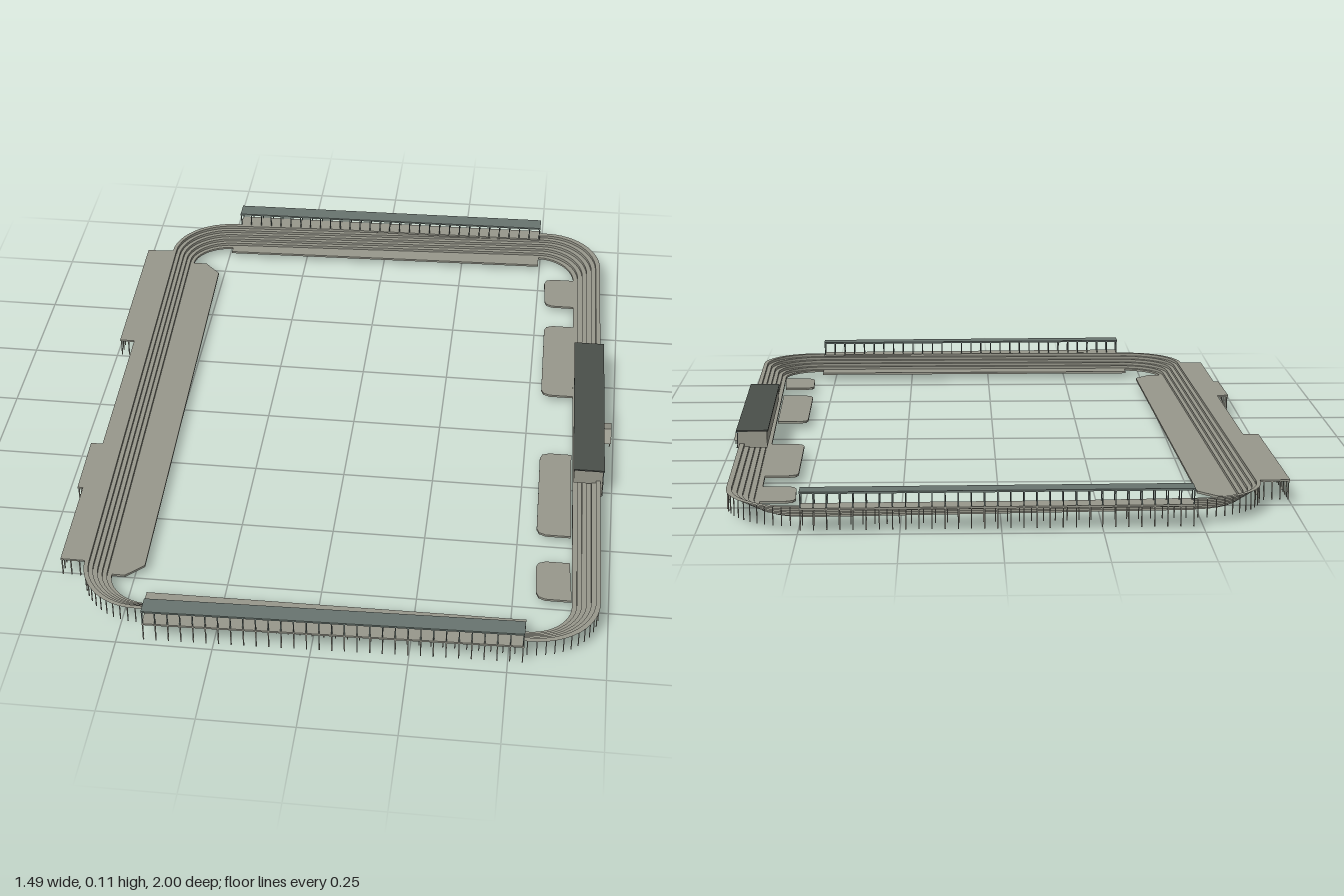
import * as THREE from 'three';
import { mergeGeometries } from 'three/addons/utils/BufferGeometryUtils.js';

const mat = (name, color, side = THREE.FrontSide) => {
  const m = new THREE.MeshStandardMaterial({ color, side });
  m.name = name;
  return m;
};

export function createModel() {
  const model = new THREE.Group();
  const concrete = mat('concrete', 0x97978b, THREE.DoubleSide);
  const canopy = mat('canopy grey green', 0x68746f);
  const darkRoof = mat('dark roof', 0x4a4f4a);
  const glass = mat('glass', 0x788a8e);
  const trim = mat('blue trim', 0x4f7a8a);

  const add = (name, geo, material) => {
    const m = new THREE.Mesh(geo, material);
    m.name = name;
    model.add(m);
    return m;
  };
  // Flat slab from an [x, z] outline, with its top at the given height
  const slab = (pts, top, thick) => {
    const s = new THREE.Shape(pts.map(p => new THREE.Vector2(p[0], p[1])));
    const g = new THREE.ExtrudeGeometry(s, { depth: thick, bevelEnabled: false });
    return g.rotateX(Math.PI / 2).translate(0, top, 0);
  };
  // Row of thin posts along a polyline of [x, z] points
  const postRow = (pts, y0, y1, step, size = 0.003) => {
    const list = [];
    for (let i = 0; i + 1 < pts.length; i++) {
      const [a, b] = [pts[i], pts[i + 1]];
      const n = Math.max(1, Math.round(Math.hypot(b[0] - a[0], b[1] - a[1]) / step));
      for (let k = 0; k <= n; k++) {
        const t = k / n;
        list.push(new THREE.BoxGeometry(size, y1 - y0, size).translate(
          a[0] + (b[0] - a[0]) * t, (y0 + y1) / 2, a[1] + (b[1] - a[1]) * t));
      }
    }
    return mergeGeometries(list);
  };

  // Closed loop with four rounded corners, each given as start, corner, end
  const loop = corners => corners.flatMap(([a, c, b]) => {
    const o = [a[0] + b[0] - c[0], a[1] + b[1] - c[1]];
    return Array.from({ length: 13 }, (_, i) => {
      const t = (i / 12) * Math.PI / 2;
      return [0, 1].map(k => o[k] + (a[k] - o[k]) * Math.cos(t) + (b[k] - o[k]) * Math.sin(t));
    });
  });
  const outer = loop([
    [[-0.625, 0.77], [-0.62, 0.942], [-0.46, 0.94]],
    [[0.55, 0.95], [0.735, 0.955], [0.727, 0.78]],
    [[0.692, -0.8], [0.687, -0.987], [0.52, -0.987]],
    [[-0.49, -0.932], [-0.672, -0.928], [-0.667, -0.75]],
  ]);
  const inner = loop([
    [[-0.555, 0.77], [-0.55, 0.873], [-0.44, 0.873]],
    [[0.54, 0.87], [0.657, 0.873], [0.655, 0.76]],
    [[0.61, -0.78], [0.607, -0.9], [0.5, -0.905]],
    [[-0.49, -0.855], [-0.605, -0.85], [-0.6, -0.75]],
  ]);

  // Stepped terrace ring: level treads and upright risers, high outside and low inside
  const steps = 6, rows = [];
  for (let s = 0; s < steps; s++) {
    const y = 0.066 - (s / (steps - 1)) * 0.041;
    rows.push([s / steps, y], [(s + 1) / steps, y]);
  }
  rows.push([1, 0.019]);
  const n = outer.length, pos = [];
  const at = ([t, y], i) => [0, 1].map(k => outer[i][k] + (inner[i][k] - outer[i][k]) * t).toSpliced(1, 0, y);
  for (let r = 0; r + 1 < rows.length; r++) {
    for (let i = 0; i < n; i++) {
      const j = (i + 1) % n;
      const a = at(rows[r], i), b = at(rows[r], j), c = at(rows[r + 1], j), d = at(rows[r + 1], i);
      pos.push(...a, ...b, ...c, ...a, ...c, ...d);
    }
  }
  const ring = new THREE.BufferGeometry();
  ring.setAttribute('position', new THREE.Float32BufferAttribute(pos, 3));
  ring.computeVertexNormals();
  add('terraceRing', ring, concrete);
  const rim = [...outer, outer[0]].map(p => [p[0] * 0.995, p[1] * 0.997]);
  add('ringPosts', postRow(rim, 0.018, 0.064, 0.03, 0.0025), concrete);

  // Low inner terraces on the left, front and back
  const low = 0.025;
  add('leftInnerTerrace', slab([[-0.6, -0.75], [-0.56, -0.75], [-0.512, -0.7],
    [-0.475, 0.725], [-0.52, 0.77], [-0.557, 0.77]], low, 0.006), concrete);
  add('frontInnerTerrace', slab([[-0.45, 0.83], [0.54, 0.825], [0.54, 0.875], [-0.45, 0.875]], low, 0.006), concrete);
  add('backInnerTerrace', slab([[-0.49, -0.86], [0.495, -0.91], [0.495, -0.86], [-0.49, -0.83]], low, 0.006), concrete);

  // Low pads along the right side, rounded towards the middle
  for (const [z0, z1, x] of [[-0.78, -0.63, 0.52], [-0.52, -0.16, 0.53], [0.12, 0.48, 0.545], [0.59, 0.74, 0.555]]) {
    const r = 0.025, back = 0.63 + z0 * 0.023;
    add('rightPad', slab([[back, z0], [x + r, z0], [x + 0.006, z0 + 0.008], [x, z0 + r],
      [x + 0.005, z1 - r], [x + 0.012, z1 - 0.008], [x + r + 0.005, z1], [back + 0.01, z1]], low, 0.006), concrete);
  }

  // High outer decks on the left, carried by posts
  const deckEdge = [[-0.66, -0.75], [-0.745, -0.745], [-0.735, -0.24], [-0.692, -0.24], [-0.682, 0.27],
    [-0.715, 0.27], [-0.71, 0.47], [-0.695, 0.47], [-0.69, 0.77], [-0.62, 0.77]];
  const ringEdge = [[-0.622, 0.77], [-0.662, -0.75]];
  add('leftOuterDeck', slab([...deckEdge.slice(1, -1), ...ringEdge], 0.066, 0.005), concrete);
  add('leftDeckPosts', postRow(deckEdge.map(p => [p[0] + 0.004, p[1]]), 0.014, 0.062, 0.024), concrete);

  // Covered stands at the front and back
  const stands = [
    ['front', [-0.43, 0.945], [0.54, 0.922], [0.54, 0.97], [-0.43, 0.995]],
    ['back', [-0.475, -0.93], [0.495, -0.95], [0.495, -1], [-0.475, -0.982]],
  ];
  for (const [name, a, b, c, d] of stands) {
    const s = name === 'front' ? -0.003 : 0.003;
    const outerEdge = [d, c].map(p => [p[0] * 0.995, p[1] + s]);
    const innerEdge = [a, b].map(p => [p[0] * 0.995, p[1] - s]);
    add(name + 'StandFloor', slab([a, b, c, d], 0.066, 0.005), concrete);
    add(name + 'CanopyRoof', slab([a, b, c, d], 0.107, 0.005), canopy);
    add(name + 'CanopyColumns', mergeGeometries([
      postRow(outerEdge, 0.066, 0.102, 0.032), postRow(innerEdge, 0.066, 0.102, 0.032)]), canopy);
    add(name + 'StandPosts', postRow(outerEdge, 0.01, 0.062, 0.032), concrete);
  }

  // Main building on the right
  const plan = [[0.627, -0.322], [0.708, -0.322], [0.722, 0.282], [0.642, 0.282]];
  add('buildingBody', slab(plan, 0.1, 0.045), concrete);
  add('buildingRoof', slab([[0.624, -0.326], [0.711, -0.326], [0.725, 0.286], [0.639, 0.286]], 0.104, 0.004), darkRoof);

  // Outward face: strip of the given depth, from z0 to z1
  const face = (z0, z1, out, depth) => {
    const x = z => 0.708 + (z + 0.322) * 0.0232 + out;
    return [[x(z0) - depth, z0], [x(z0), z0], [x(z1), z1], [x(z1) - depth, z1]];
  };
  add('buildingWindows', slab(face(-0.318, 0.278, 0.002, 0.004), 0.096, 0.034), glass);
  add('windowTrim', slab(face(-0.322, 0.282, 0.003, 0.004), 0.1, 0.004), trim);

  // Lower storey in two wings, with dark slats
  for (const [z0, z1] of [[-0.322, -0.16], [0.14, 0.282]]) {
    add('lowerWing', slab(face(z0, z1, 0, 0.02), 0.055, 0.045), concrete);
    add('wingSlat', slab(face(z0, z1, 0.003, 0.003), 0.017, 0.003), darkRoof);
  }
  for (const y of [0.038, 0.056]) add('longSlat', slab(face(-0.322, 0.282, 0.003, 0.006), y, 0.003), darkRoof);
  add('middleWall', slab(face(-0.16, 0.14, -0.004, 0.006), 0.055, 0.034), concrete);
  add('buildingPosts', postRow([[0.705, -0.15], [0.712, 0.13]], 0, 0.055, 0.06), concrete);

  // Small gabled entrance porch
  const gable = new THREE.Shape([[-0.05, 0.012], [0.05, 0.012], [0, 0.028]].map(p => new THREE.Vector2(...p)));
  add('entrancePorch', new THREE.ExtrudeGeometry(gable, { depth: 0.04, bevelEnabled: false })
    .rotateY(Math.PI / 2).translate(0.704, 0, -0.01), concrete);
  add('porchPosts', postRow([[0.74, -0.055], [0.74, 0.035]], 0, 0.013, 0.09), concrete);

  return model;
}
